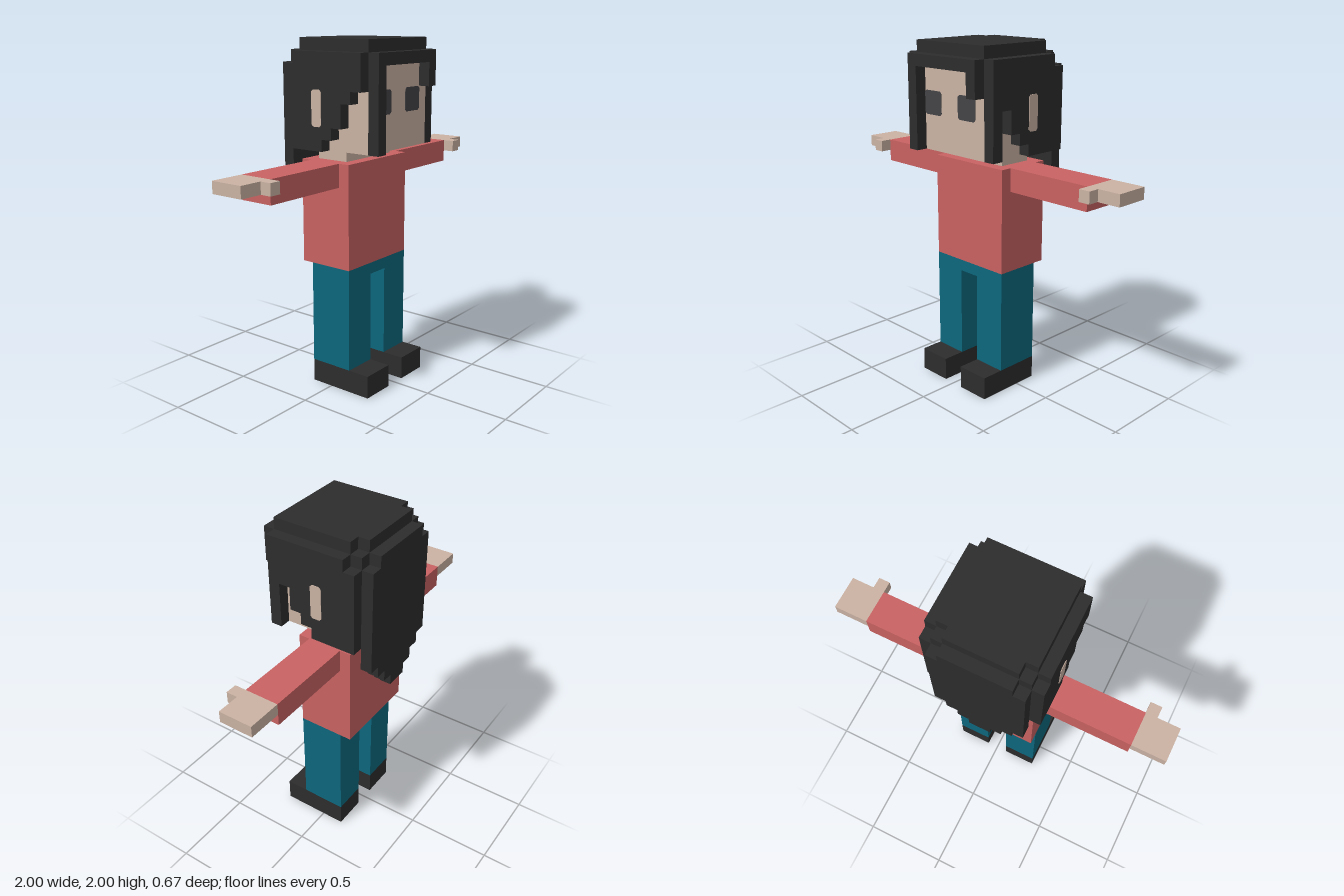
import * as THREE from 'three';

const U = 1 / 15; // one block
const mat = (name, color) => Object.assign(new THREE.MeshStandardMaterial({ color }), { name });

export function createModel() {
  const model = new THREE.Group();
  model.name = 'blockFigure';
  const skin = mat('skin', 0xcbb3a4);
  const shirt = mat('shirt', 0xc96262);
  const trousers = mat('trousers', 0x0d677d);
  const dark = mat('hairAndShoes', 0x2d2d2d);
  const iris = mat('eyes', 0x444448);

  // Box given by its limits in blocks
  function box(name, material, x0, x1, y0, y1, z0, z1) {
    const g = new THREE.BoxGeometry((x1 - x0) * U, (y1 - y0) * U, (z1 - z0) * U);
    const m = new THREE.Mesh(g, material);
    m.position.set((x0 + x1) * U / 2, (y0 + y1) * U / 2, (z0 + z1) * U / 2);
    m.name = name;
    model.add(m);
  }
  // The same box on the left (s = 1) or mirrored to the right (s = -1)
  const side = (s, name, material, x0, x1, ...rest) =>
    box((s > 0 ? 'left' : 'right') + name, material, s > 0 ? x0 : -x1, s > 0 ? x1 : -x0, ...rest);

  // Thin plate with clipped corners
  function plate(name, material, w, h, x, y, z, turn) {
    const a = w * U / 2, b = h * U / 2, c = 0.012;
    const pts = [[a - c, -b], [a, c - b], [a, b - c], [a - c, b], [c - a, b], [-a, b - c], [-a, c - b], [c - a, -b]];
    const shape = new THREE.Shape(pts.map(p => new THREE.Vector2(...p)));
    const m = new THREE.Mesh(new THREE.ExtrudeGeometry(shape, { depth: 0.003, bevelEnabled: false }), material);
    m.position.set(x * U, y * U, z * U);
    m.rotation.y = turn;
    m.name = name;
    model.add(m);
  }

  // Body
  box('hips', trousers, -4, 4, 10, 11, -2, 2);
  box('torso', shirt, -4, 4, 11, 20, -3, 2);
  box('neck', skin, -3, 3, 20, 21, -2, 1);
  box('head', skin, -4, 4, 21, 28, -4, 4);

  // Limbs, eyes and ears
  for (const s of [1, -1]) {
    side(s, 'Shoe', dark, 1, 4, 0, 2, -2, 4);
    side(s, 'Leg', trousers, 1, 4, 2, 10, -2, 2);
    side(s, 'Sleeve', shirt, 4, 12, 18, 20, -2, 1);
    side(s, 'Hand', skin, 12, 15, 19, 20, -2, 1);
    side(s, 'Thumb', skin, 12, 13, 19, 20, 1, 2);
    plate(s > 0 ? 'leftEye' : 'rightEye', iris, 2, 2, 2 * s, 25, 4, 0);
    plate(s > 0 ? 'leftEar' : 'rightEar', skin, 1, 3, 5 * s, 24.5, -0.5, s * Math.PI / 2);
  }

  // Crown and cap, with the cap's back corners left out
  box('crown', dark, -4, 4, 28, 29, -4, 4);
  box('cap', dark, -4, 4, 29, 30, -3, 4);
  box('capBack', dark, -3, 3, 29, 30, -4, -3);

  // Fringe: long lock on the right, short one on the left
  box('fringe', dark, -4, 4, 28, 29, 4, 5);
  box('longLock', dark, -4, -3, 21, 28, 4, 5);
  box('shortLock', dark, 3, 4, 26, 28, 4, 5);

  // Side hair: rows [bottom, top, front edge] stepping back toward the jaw
  const rows = [[21, 22, 0], [22, 23, 1], [23, 25, 2], [25, 26, 3], [26, 28, 4]];
  for (const s of [1, -1]) {
    for (const [y0, y1, front] of rows) {
      side(s, 'SideHair', dark, 4, 5, y0, y1, -4, s > 0 ? Math.min(front, 3) : front);
    }
    side(s, 'SideHairTop', dark, 4, 5, 28, 29, -3, s > 0 ? 3 : 4);
  }
  box('leftTempleLock', dark, 4, 5, 21, 29, 3, 4);

  // Long back hair tapering to a point
  box('backHairTop', dark, -3, 3, 28, 29, -5, -4);
  box('backHair', dark, -4, 4, 19, 28, -5, -4);
  for (let i = 1; i <= 3; i++) box('backHairTip', dark, -i, i, 15 + i, 16 + i, -5, -4);

  return model;
}
